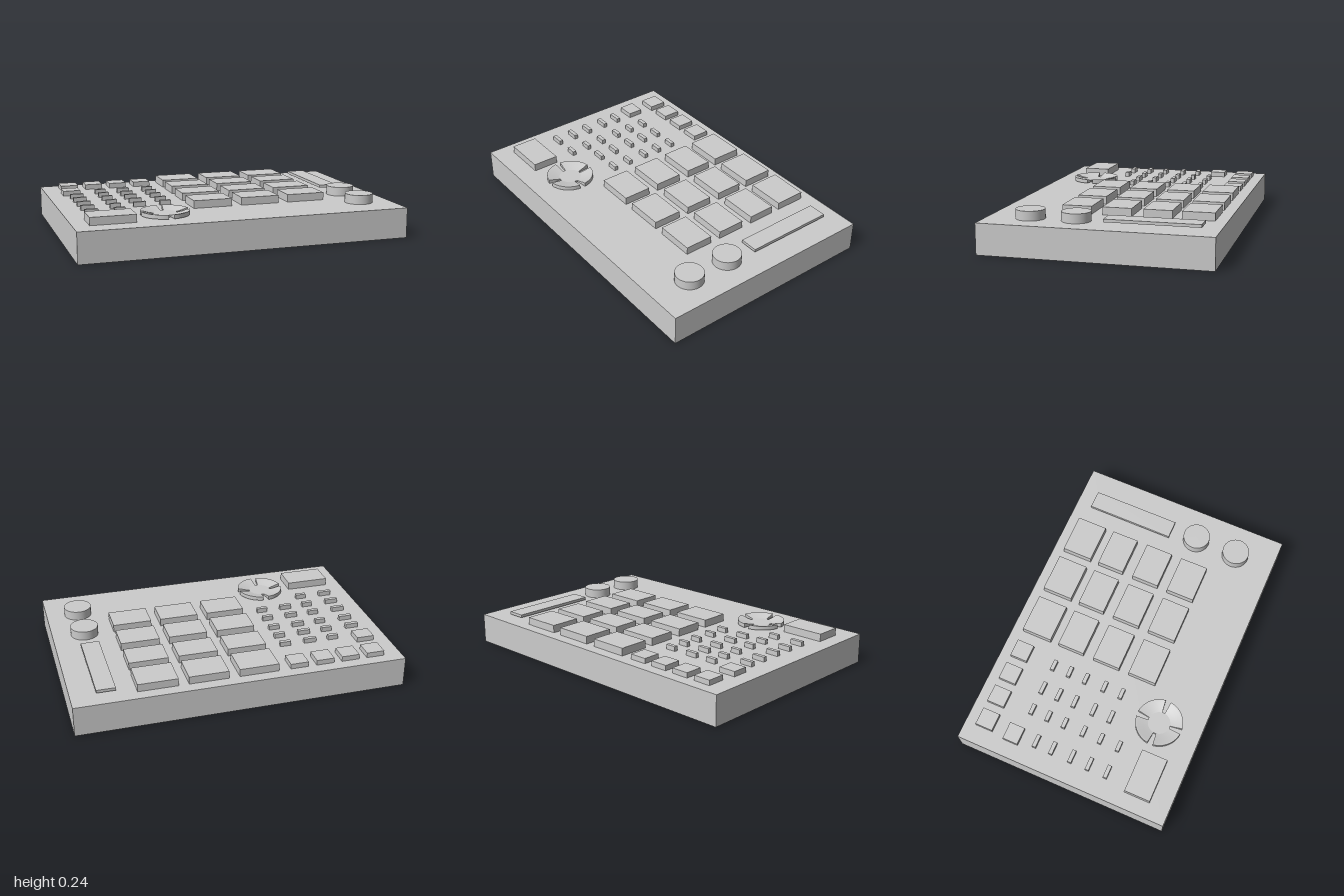
import * as THREE from 'three';

const TOP = 0.184; // height of the case's upper face

export function createModel() {
  const model = new THREE.Group();
  const material = new THREE.MeshStandardMaterial({ color: 0xcccccc });
  const dishMaterial = new THREE.MeshStandardMaterial({ color: 0xcccccc, side: THREE.DoubleSide });

  function add(geometry, name, parent = model, mat = material) {
    const mesh = new THREE.Mesh(geometry, mat);
    mesh.name = name;
    parent.add(mesh);
    return mesh;
  }
  // Box given by its limits on each axis
  function block(name, x0, x1, y0, y1, z0, z1, parent) {
    const mesh = add(new THREE.BoxGeometry(x1 - x0, y1 - y0, z1 - z0), name, parent);
    mesh.position.set((x0 + x1) / 2, (y0 + y1) / 2, (z0 + z1) / 2);
  }
  function group(name) {
    const g = new THREE.Group();
    g.name = name;
    model.add(g);
    return g;
  }

  block('case', -1, 1, 0, TOP, -0.676, 0.676);

  // Grid of large pads: three columns, four rows
  const pads = group('pads');
  for (const [z0, z1] of [[-0.605, -0.415], [-0.36, -0.19], [-0.122, 0.052], [0.117, 0.295]])
    for (const x of [-0.225, 0.079, 0.38])
      block('pad', x, x + 0.24, TOP, 0.231, z0, z1, pads);

  // Square buttons along the back, and one below them
  const squares = group('squareButtons');
  for (const x of [-0.89, -0.73, -0.57, -0.408])
    block('squareButton', x, x + 0.11, TOP, 0.215, -0.605, -0.495, squares);
  block('squareButton', -0.905, -0.797, TOP, 0.215, -0.415, -0.318, squares);

  // Rows of tiny buttons; each row lists the columns it fills
  const columns = [[-0.878, -0.797], [-0.7, -0.635], [-0.557, -0.48], [-0.392, -0.325]];
  const rows = [
    [-0.329, [1, 2, 3]], [-0.221, [0, 1, 2, 3]], [-0.112, [0, 1, 2, 3]],
    [0.014, [0, 1, 2, 3]], [0.129, [0, 1, 2, 3]], [0.247, [0, 1]],
  ];
  const tiny = group('tinyButtons');
  for (const [z, filled] of rows)
    for (const c of filled)
      block('tinyButton', ...columns[c], TOP, 0.213, z - 0.012, z + 0.012, tiny);

  block('largeButton', -0.905, -0.635, TOP, 0.231, 0.387, 0.55);
  block('touchStrip', 0.737, 0.85, 0.195, 0.213, -0.573, -0.02);

  // Two round knobs
  for (const z of [0.15, 0.422])
    add(new THREE.CylinderGeometry(0.085, 0.085, 0.24 - TOP, 48), 'knob')
      .position.set(0.8, (0.24 + TOP) / 2, z);

  // Dished wheel: a hub and four petals separated by tapering slots
  const wheel = group('wheel');
  wheel.position.set(-0.435, TOP, 0.412);
  add(new THREE.CylinderGeometry(0.07, 0.07, 0.014, 32), 'wheelHub', wheel).position.y = 0.007;

  const section = [[0.068, 0.006], [0.145, 0.006], [0.145, 0.031], [0.13, 0.029], [0.1, 0.02], [0.068, 0.014]]
    .map(([r, y]) => new THREE.Vector2(r, y));
  // Repeated corners keep the rim edges sharp
  const profile = [];
  section.forEach((p, i) => {
    profile.push(p);
    if (i === 1 || i === 2) profile.push(p.clone());
  });
  const cap = new THREE.ShapeGeometry(new THREE.Shape(section));
  const slot = 0.12; // half angle of a slot
  for (let i = 0; i < 4; i++) {
    const start = i * Math.PI / 2 + slot;
    const sweep = Math.PI / 2 - 2 * slot;
    add(new THREE.LatheGeometry(profile, 16, start, sweep), 'wheelPetal', wheel, dishMaterial);
    for (const phi of [start, start + sweep])
      add(cap, 'petalEnd', wheel, dishMaterial).rotation.y = phi - Math.PI / 2;
  }
  return model;
}
